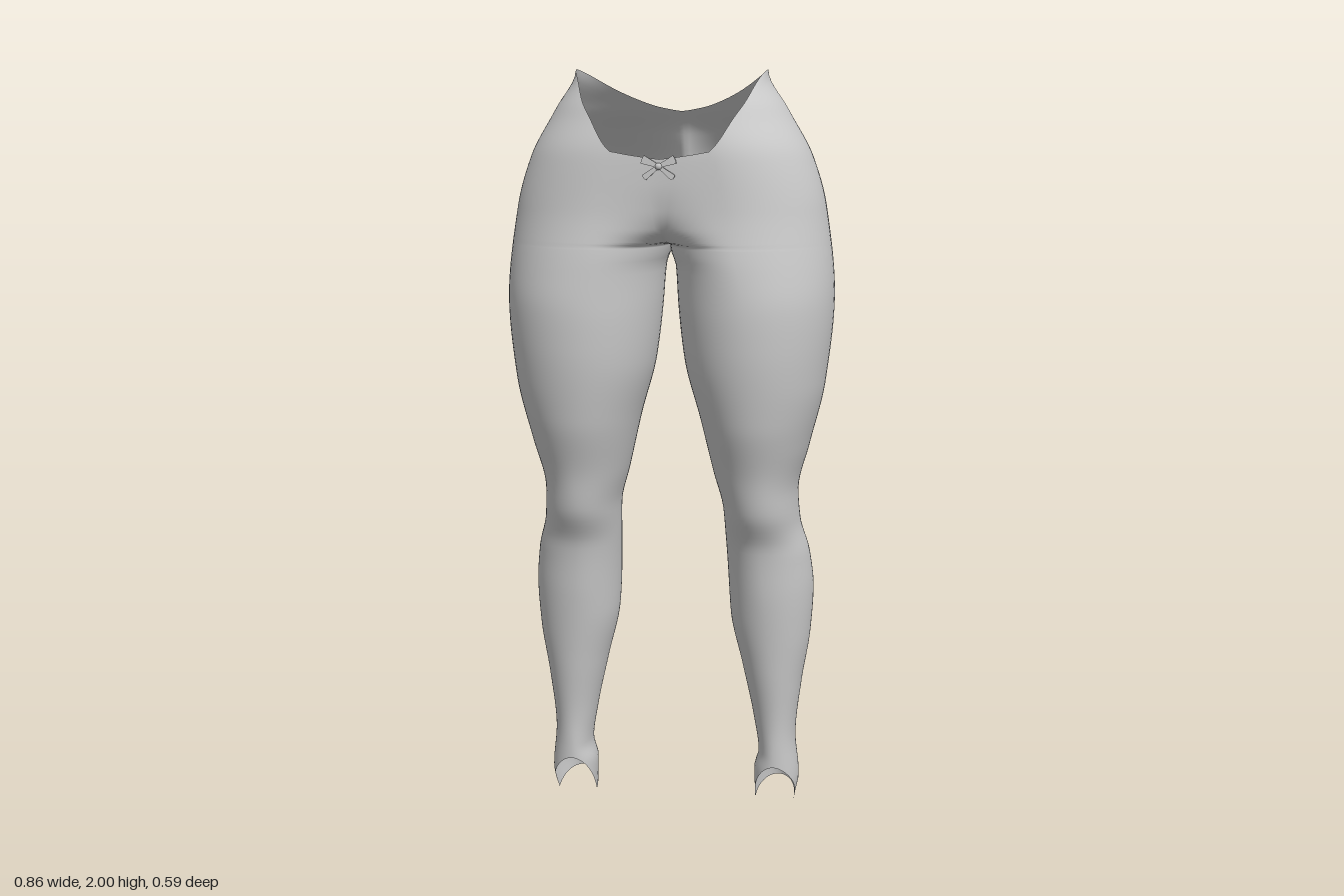
import * as THREE from 'three';
import { mergeVertices } from 'three/addons/utils/BufferGeometryUtils.js';

// Smooth curve through sparse [height, value] points
function profile(pts) {
  const n = pts.length;
  const slope = (a, b) => (pts[b][1] - pts[a][1]) / (pts[b][0] - pts[a][0]);
  const m = pts.map((_, i) => {
    if (i === 0 || i === n - 1) return 0;
    const a = slope(i - 1, i), b = slope(i, i + 1);
    return a * b <= 0 ? 0 : (2 * a * b) / (a + b);
  });
  return (y) => {
    if (y <= pts[0][0]) return pts[0][1];
    if (y >= pts[n - 1][0]) return pts[n - 1][1];
    let i = 0;
    while (y > pts[i + 1][0]) i++;
    const h = pts[i + 1][0] - pts[i][0], t = (y - pts[i][0]) / h, s = 1 - t;
    return s * s * (1 + 2 * t) * pts[i][1] + t * t * (3 - 2 * t) * pts[i + 1][1]
      + h * t * s * (s * m[i] - t * m[i + 1]);
  };
}

const CROTCH = 1.55;

// Outlines of one leg and hip
const outer = profile([[0, 0.332], [0.08, 0.345], [0.2, 0.335], [0.35, 0.35], [0.5, 0.373], [0.62, 0.38],
  [0.72, 0.37], [0.82, 0.345], [0.9, 0.34], [1.03, 0.37], [1.2, 0.41], [1.42, 0.43], [1.65, 0.405],
  [1.78, 0.368], [1.9, 0.303], [2, 0.25]]);
const inner = profile([[0, 0.225], [0.1, 0.222], [0.15, 0.234], [0.25, 0.22], [0.4, 0.188], [0.55, 0.155],
  [0.75, 0.145], [0.85, 0.14], [0.95, 0.115], [1.1, 0.08], [1.25, 0.04], [1.4, 0.022], [1.5, 0.015], [CROTCH, 0]]);
const front = profile([[0, 0.055], [0.2, 0.062], [0.4, 0.09], [0.6, 0.122], [0.75, 0.145], [0.85, 0.19],
  [0.95, 0.212], [1.1, 0.258], [1.3, 0.29], [1.4, 0.295], [1.5, 0.29], [1.65, 0.275], [1.78, 0.272],
  [1.9, 0.25], [2, 0.21]]);
const back = profile([[0, -0.135], [0.12, -0.11], [0.2, -0.096], [0.35, -0.11], [0.5, -0.14], [0.62, -0.152],
  [0.72, -0.14], [0.85, -0.106], [0.95, -0.1], [1.1, -0.122], [1.25, -0.146], [1.4, -0.152], [1.45, -0.163],
  [1.5, -0.205], [1.57, -0.268], [1.65, -0.295], [1.72, -0.28], [1.83, -0.2], [1.9, -0.135], [2, -0.07]]);
const midX = profile([[0, 0.28], [0.2, 0.28], [0.5, 0.265], [0.85, 0.24], [1.1, 0.23], [1.4, 0.22],
  [1.55, 0.185], [1.65, 0.165], [1.8, 0.125], [1.9, 0.07], [2, 0.05]]);
const midZ = profile([[0, -0.02], [0.2, -0.015], [0.6, -0.01], [0.9, 0.05], [1.2, 0.07], [1.5, 0.06], [2, 0.05]]);
// Depth kept at the centre line, front and back, as a share of the full depth
const frontDepth = profile([[CROTCH, 0], [1.565, 0.5], [1.6, 0.8], [1.65, 0.92], [1.72, 0.975], [1.8, 0.99]]);
const backDepth = profile([[CROTCH, 0], [1.565, 0.4], [1.6, 0.6], [1.66, 0.7], [1.78, 0.83], [1.88, 0.97], [2, 0.99]]);

// u runs from the back centre (-1) round the outside (0) to the front centre (1)
function surfacePoint(u, y) {
  const cx = midX(y), cz = midZ(y);
  const k = (u > 0 ? frontDepth : backDepth)(y);
  const innerR = y < CROTCH ? cx - inner(y) : cx / Math.sqrt(1 - k * k);
  const sweep = y < CROTCH ? Math.PI : Math.PI - Math.asin(k);
  const phi = u * sweep, c = Math.cos(phi), s = Math.sin(phi);
  const x = cx + c * (c > 0 ? outer(y) - cx : innerR);
  const z = cz + s * (s > 0 ? front(y) - cz : cz - back(y));
  return [Math.max(0, x), y, z];
}

// Waist dips at the front; ankle hem is cut up over the instep
function waist(u) {
  const c = Math.max(0, Math.cos((u * Math.PI) / 2));
  return u > 0 ? 1.78 + 0.22 * c ** 1.2 : 1.89 + 0.11 * c ** 1.3;
}
function hem(u) {
  const s = Math.sin(u * Math.PI);
  return s > 0 ? 0.005 + 0.115 * s : 0.005 - 0.03 * s;
}

function leggingsGeometry() {
  const cols = 72, low = 8, mid = 84, top = 40, rows = low + mid + top;
  const a = 0.16, b = 1.552;
  const pos = [], index = [];
  for (const side of [1, -1]) {
    const base = pos.length / 3;
    for (let r = 0; r <= rows; r++) {
      for (let i = 0; i <= cols; i++) {
        const u = (2 * i) / cols - 1;
        let y;
        if (r < low) y = THREE.MathUtils.lerp(hem(u), a, r / low);
        else if (r < low + mid) y = THREE.MathUtils.lerp(a, b, (r - low) / mid);
        else y = THREE.MathUtils.lerp(b, waist(u), ((r - low - mid) / top) ** 1.3);
        const p = surfacePoint(u, y);
        pos.push(side * p[0], p[1], p[2]);
        if (r < rows && i < cols) {
          const p0 = base + r * (cols + 1) + i, p1 = p0 + 1, q0 = p0 + cols + 1, q1 = q0 + 1;
          if (side > 0) index.push(p0, q0, p1, p1, q0, q1);
          else index.push(p0, p1, q0, p1, q1, q0);
        }
      }
    }
  }
  const g = new THREE.BufferGeometry();
  g.setAttribute('position', new THREE.Float32BufferAttribute(pos, 3));
  g.setIndex(index);
  const merged = mergeVertices(g, 1e-4);
  merged.computeVertexNormals();
  return merged;
}

// Small ribbon bow: two loops, two tails and a knot
function createBow(material) {
  const bow = new THREE.Group();
  bow.name = 'bow';
  const strip = (length, w0, w1) => {
    const s = new THREE.Shape();
    s.moveTo(0, -w0);
    s.lineTo(length, -w1);
    s.quadraticCurveTo(length * 1.08, 0, length, w1);
    s.lineTo(0, w0);
    return new THREE.ExtrudeGeometry(s, { depth: 0.006, bevelEnabled: false });
  };
  const loop = strip(0.044, 0.004, 0.011), tail = strip(0.046, 0.004, 0.008);
  for (const side of [1, -1]) {
    for (const [name, geo, angle] of [['bowLoop', loop, 0.4], ['bowTail', tail, -0.65]]) {
      const m = new THREE.Mesh(geo, material);
      m.name = name;
      m.rotation.z = side > 0 ? angle : Math.PI - angle;
      bow.add(m);
    }
  }
  const knot = new THREE.Mesh(new THREE.SphereGeometry(0.009, 16, 12), material);
  knot.name = 'bowKnot';
  knot.scale.set(1, 1, 0.8);
  knot.position.z = 0.005;
  bow.add(knot);
  bow.position.set(0, 1.763, 0.275);
  return bow;
}

export function createModel() {
  const material = new THREE.MeshStandardMaterial({ color: 0xcccccc, side: THREE.DoubleSide });
  const group = new THREE.Group();
  group.name = 'leggingsWithBow';
  const leggings = new THREE.Mesh(leggingsGeometry(), material);
  leggings.name = 'leggings';
  group.add(leggings, createBow(material));
  return group;
}
